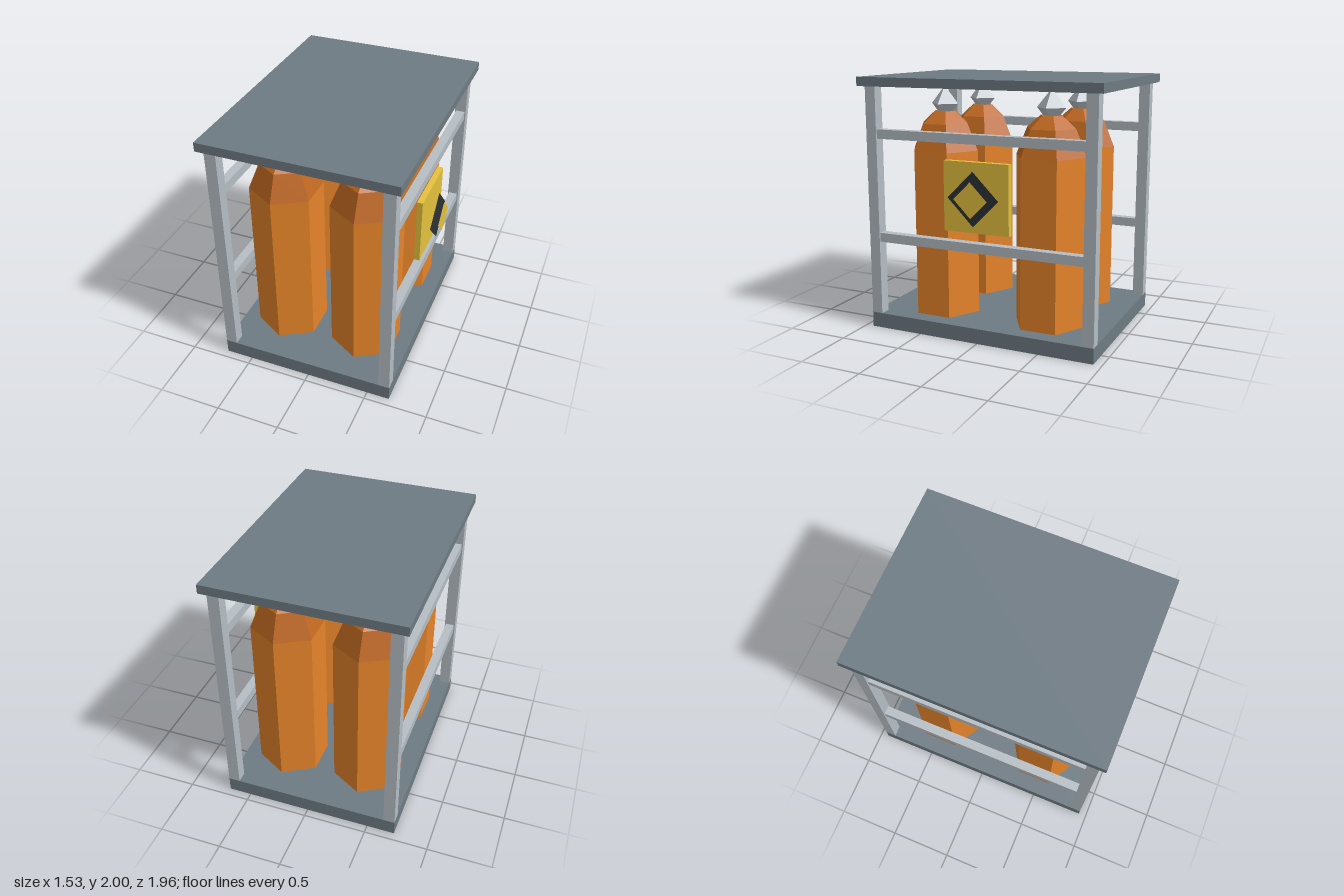
import * as THREE from 'three';

const mat = (name, color, options = {}) => {
  const m = new THREE.MeshStandardMaterial({ color, ...options });
  m.name = name;
  return m;
};

export function createModel() {
  const root = new THREE.Group();
  root.name = 'gasCylinderCage';
  const cage = new THREE.Group();
  cage.name = 'cage';
  cage.position.x = -0.02;
  root.add(cage);

  const flat = { flatShading: true };
  const thin = { side: THREE.DoubleSide };
  const slate = mat('slate metal', 0x6e7b83);
  const steel = mat('light steel', 0xb6bec4, flat);
  const orange = mat('tank orange', 0xe6842a, flat);
  const rust = mat('tank shoulder orange', 0xbf6820, flat);
  const yellow = mat('sign yellow', 0xe5c23e, thin);
  const black = mat('sign black', 0x2b3235, thin);

  const add = (name, geo, material, x, y, z, parent = cage) => {
    const mesh = new THREE.Mesh(geo, material);
    mesh.name = name;
    mesh.position.set(x, y, z);
    parent.add(mesh);
    return mesh;
  };
  const box = (name, material, w, h, d, x, y, z) =>
    add(name, new THREE.BoxGeometry(w, h, d), material, x, y, z);

  // Floor and roof slabs
  box('base', slate, 1.4, 0.12, 1.872, 0, 0.06, 0);
  box('roof', slate, 1.485, 0.07, 1.963, 0, 1.965, 0);

  // Corner posts and side rails
  for (const sx of [-1, 1]) {
    for (const sz of [-1, 1]) {
      box('post', steel, 0.09, 1.81, 0.088, sx * 0.655, 1.025, sz * 0.892);
    }
    for (const y of [0.748, 1.565]) {
      box('sideRail', steel, 0.07, 0.072, 1.7, sx * 0.655, y, 0);
    }
  }

  // Six-sided tanks with a darker shoulder and a faceted valve on top
  const lathe = (profile) =>
    new THREE.LatheGeometry(profile.map(([r, y]) => new THREE.Vector2(r, y)), 6);
  const bodyGeo = lathe([[0, 0.01], [0.283, 0.01], [0.283, 1.43]]);
  const shoulderGeo = lathe([[0.283, 1.43], [0.196, 1.637], [0.087, 1.73], [0, 1.73]]);
  const valveGeo = new THREE.OctahedronGeometry(1).scale(0.116, 0.14, 0.116);
  for (const sx of [-1, 1]) {
    for (const sz of [-1, 1]) {
      const tank = new THREE.Group();
      tank.name = 'tank';
      tank.position.set(sx * 0.327, 0, sz * 0.448);
      cage.add(tank);
      add('tankBody', bodyGeo, orange, 0, 0, 0, tank);
      add('tankShoulder', shoulderGeo, rust, 0, 0, 0, tank);
      add('valve', valveGeo, steel, 0, 1.787, 0, tank);
    }
  }

  // Warning sign: board with two flat diamonds standing out in front of it
  box('signBoard', yellow, 0.045, 0.534, 0.534, 0.668, 1.133, 0);
  for (const [name, radius, material, x] of [
    ['signDiamondOuter', 0.207, black, 0.742],
    ['signDiamondInner', 0.136, yellow, 0.785],
  ]) {
    add(name, new THREE.CircleGeometry(radius, 4), material, x, 1.133, 0).rotation.y = Math.PI / 2;
  }

  return root;
}
